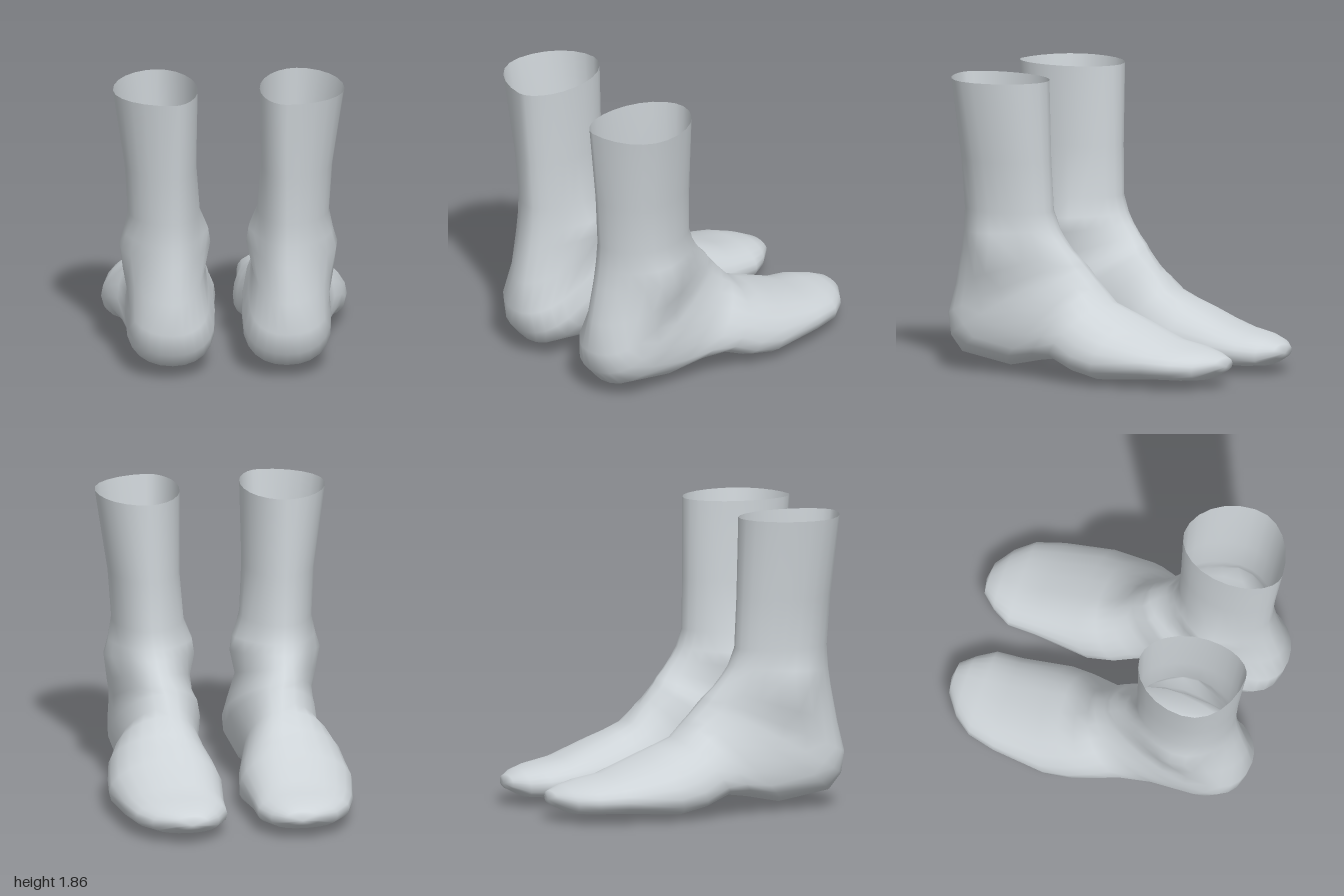
import * as THREE from 'three';

const SIDES = 24;
const HEEL = 6; // first ring that wraps the heel and has a flattened sole

// Rings from the leg opening, fanning round the heel and out to the toes:
// upper z, upper y, lower z, lower y, inner x, outer x, widest point (0 upper - 1 lower)
const RINGS = [
  [0.28, 1.86, 0.96, 1.86, 0.195, 0.73, 0.55],
  [0.27, 1.35, 0.91, 1.35, 0.203, 0.655, 0.54],
  [0.26, 1.03, 0.89, 1.03, 0.19, 0.632, 0.52],
  [0.22, 0.92, 0.9, 0.88, 0.175, 0.635, 0.51],
  [0.18, 0.86, 0.92, 0.75, 0.168, 0.635, 0.51],
  [0.12, 0.79, 0.965, 0.52, 0.16, 0.632, 0.56],
  [0.07, 0.74, 1, 0.33, 0.125, 0.632, 0.63],
  [0.05, 0.715, 0.975, 0.19, 0.087, 0.642, 0.64],
  [0.03, 0.69, 0.89, 0.09, 0.085, 0.65, 0.62],
  [-0.03, 0.62, 0.55, 0.035, 0.125, 0.64, 0.6],
  [-0.07, 0.575, 0.32, 0.085, 0.145, 0.685, 0.6],
  [-0.15, 0.48, 0.15, 0.113, 0.115, 0.735, 0.62],
  [-0.25, 0.435, -0.02, 0.045, 0.075, 0.76, 0.65],
  [-0.36, 0.39, -0.2, 0, 0.055, 0.775, 0.62],
  [-0.62, 0.28, -0.58, 0.038, 0.09, 0.73, 0.58],
  [-0.78, 0.25, -0.77, 0.042, 0.097, 0.68, 0.55],
  [-0.9, 0.222, -0.88, 0.05, 0.165, 0.59, 0.55],
  [-0.98, 0.19, -0.98, 0.1, 0.245, 0.46, 0.5],
];

const { lerp } = THREE.MathUtils;

// Soft round swelling used for the ankle bones
const bump = (dz, dy) => 0.062 * Math.exp(-(dz * dz) / 0.025 - (dy * dy) / 0.022);

// Loft the rings into one smooth skin; side is +1 for left, -1 for right
function footGeometry(side) {
  const pos = [], index = [];
  RINGS.forEach(([upperZ, upperY, lowerZ, lowerY, inner, outer, widest], i) => {
    const ridge = lerp(0.44, 0.34, Math.min(1, i / 12)); // crest drifts towards the big toe
    const sole = 0.36 - 0.12 * Math.exp(-(((lowerZ + 0.2) / 0.15) ** 2)); // ball behind the big toe
    const flatness = i < HEEL ? 0.95 : 0.68;
    const roundness = i < HEEL ? 1.05 : 0.95;
    for (let j = 0; j < SIDES; j++) {
      const a = (j / SIDES) * Math.PI * 2;
      const c = Math.cos(a), s = Math.sin(a);
      const t = c > 0
        ? widest * (1 - c)
        : widest + (1 - widest) * Math.pow(-c, flatness);
      const y = lerp(upperY, lowerY, t), z = lerp(upperZ, lowerZ, t);
      const x = lerp(c > 0 ? ridge : sole, s > 0 ? outer : inner, Math.pow(Math.abs(s), roundness));
      const ankle = s > 0 ? bump(z - 0.6, y - 0.76) : -bump(z - 0.52, y - 0.84);
      pos.push(side * (x + ankle * Math.abs(s)), y, z);
    }
  });

  const tri = (a, b, c) => (side > 0 ? index.push(a, b, c) : index.push(a, c, b));
  for (let i = 0; i < RINGS.length - 1; i++) {
    for (let j = 0; j < SIDES; j++) {
      const a = i * SIDES + j, b = i * SIDES + ((j + 1) % SIDES);
      tri(a, b, a + SIDES);
      tri(b, b + SIDES, a + SIDES);
    }
  }

  // Close the toe tip
  const tip = pos.length / 3, last = tip - SIDES;
  pos.push(side * 0.35, 0.135, -1);
  for (let j = 0; j < SIDES; j++) tri(last + j, last + ((j + 1) % SIDES), tip);

  const geometry = new THREE.BufferGeometry();
  geometry.setAttribute('position', new THREE.Float32BufferAttribute(pos, 3));
  geometry.setIndex(index);
  geometry.computeVertexNormals();
  return geometry;
}

export function createModel() {
  const group = new THREE.Group();
  group.name = 'pairOfFeet';
  // Open at the top, so both sides show
  const grey = new THREE.MeshStandardMaterial({ color: 0xced4d8, side: THREE.DoubleSide });
  grey.name = 'pale grey';
  for (const [name, side] of [['leftFoot', 1], ['rightFoot', -1]]) {
    const foot = new THREE.Mesh(footGeometry(side), grey);
    foot.name = name;
    group.add(foot);
  }
  return group;
}
